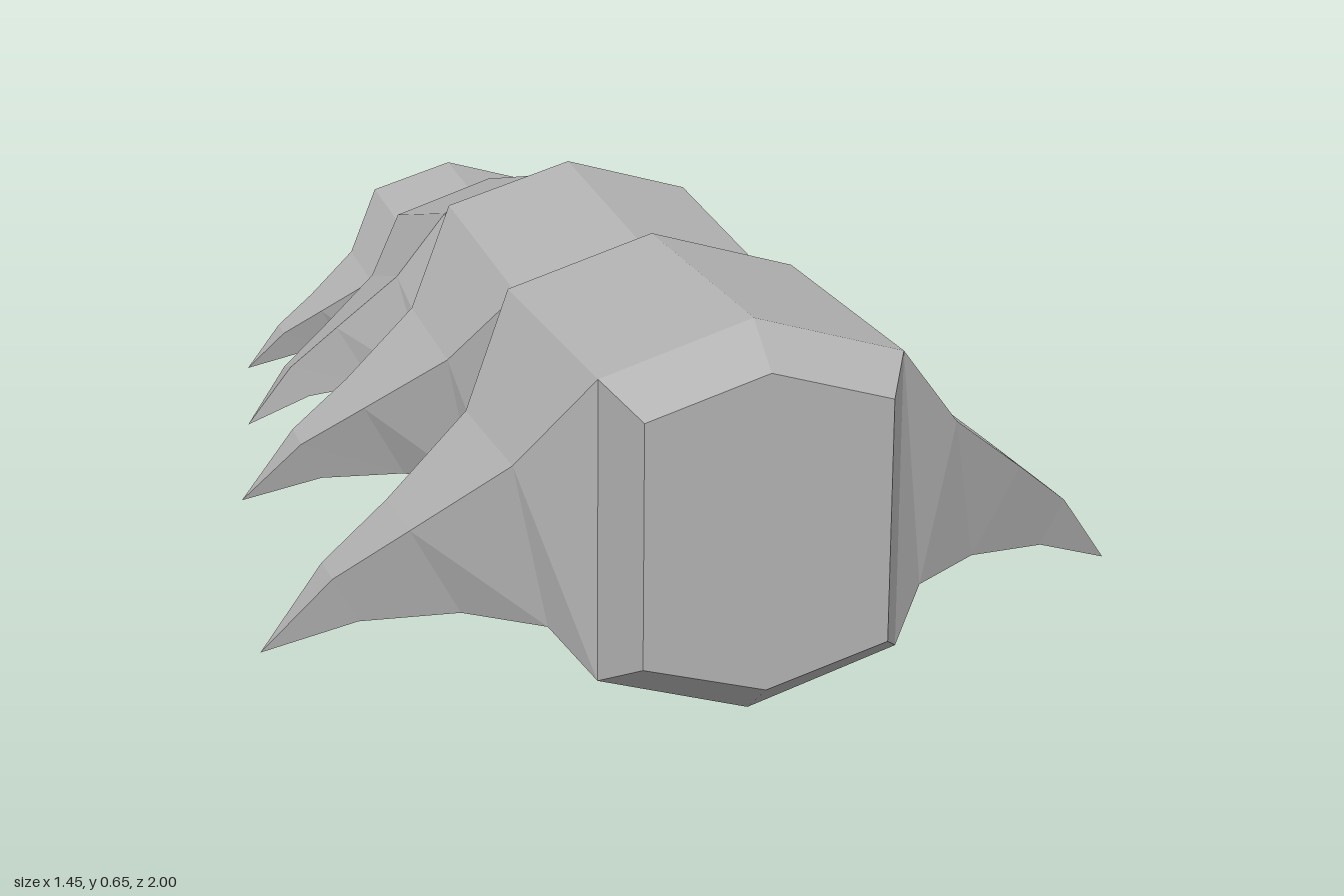
import * as THREE from 'three';

const shell = new THREE.MeshStandardMaterial({ color: 0xb2b2b2, flatShading: true });
shell.name = 'grey shell';

// Joins rings of points into a faceted solid; rings run counter-clockwise seen from the far end.
function loft(rings, capStart, capEnd) {
  const pos = [];
  const tri = (a, b, c) => pos.push(...a, ...b, ...c);
  const n = rings[0].length;
  for (let k = 0; k < rings.length - 1; k++) {
    const a = rings[k], b = rings[k + 1];
    for (let i = 0; i < n; i++) {
      const j = (i + 1) % n;
      tri(a[i], a[j], b[j]);
      tri(a[i], b[j], b[i]);
    }
  }
  const first = rings[0], last = rings[rings.length - 1];
  for (let i = 1; i < n - 1; i++) {
    if (capStart) tri(first[0], first[i + 1], first[i]);
    if (capEnd) tri(last[0], last[i], last[i + 1]);
  }
  const g = new THREE.BufferGeometry();
  g.setAttribute('position', new THREE.Float32BufferAttribute(pos, 3));
  g.computeVertexNormals();
  return g;
}

// Six-sided body section: half width, ridge, shoulder, hip and keel heights
const hex = (z, w, ridge, shoulder, hip, keel) => [
  [0, ridge, z], [-w, shoulder, z], [-w, hip, z], [0, keel, z], [w, hip, z], [w, shoulder, z],
];

function bodyGeometry() {
  const end = (z) => hex(z, 0.2, 0.257, 0.197, -0.2, -0.257);
  const mid = (z) => hex(z, 0.247, 0.32, 0.245, -0.245, -0.32);
  return loft([end(-0.333), mid(-0.25), mid(0.25), end(0.333)], true, true);
}

// Spike sections: top x, top y, bottom x, bottom y, front z, back z
const spikeSections = [
  [0.247, 0.245, 0.247, -0.245, 0.25, -0.25],
  [0.365, 0.1, 0.31, -0.17, 0.193, -0.082],
  [0.51, -0.015, 0.43, -0.16, 0.122, -0.027],
  [0.62, -0.105, 0.58, -0.18, 0.062, -0.014],
  [0.725, -0.24, 0.725, -0.24, 0, 0],
];
const stumpSections = [spikeSections[0], [0.32, 0.1, 0.32, -0.17, 0.193, -0.082]];

function limbGeometry(sections, side) {
  const rings = sections.map(([tx, ty, bx, by, f, b]) => {
    const ring = [[tx, ty, f], [bx, by, f], [bx, by, b], [tx, ty, b]];
    ring.forEach((p) => { p[0] *= side; });
    return side > 0 ? ring : ring.reverse();
  });
  return loft(rings, false, sections === stumpSections);
}

export function createModel() {
  const model = new THREE.Group();
  model.name = 'spikedTail';

  const add = (group, name, geometry) => {
    const mesh = new THREE.Mesh(geometry, shell);
    mesh.name = name;
    group.add(mesh);
  };

  // Four shrinking segments, tilted in turn; the third has a stump on its left
  const segments = [
    { y: 0.325, z: 0.667, scale: 1, tilt: 0 },
    { y: 0.349, z: 0.132, scale: 0.885, tilt: 5 },
    { y: 0.3, z: -0.362, scale: 0.75, tilt: -15, stump: true },
    { y: 0.23, z: -0.776, scale: 0.62, tilt: 5 },
  ];
  segments.forEach(({ y, z, scale, tilt, stump }, i) => {
    const segment = new THREE.Group();
    segment.name = `segment${i + 1}`;
    add(segment, 'body', bodyGeometry());
    add(segment, 'rightSpike', limbGeometry(spikeSections, -1));
    if (stump) add(segment, 'leftStump', limbGeometry(stumpSections, 1));
    else add(segment, 'leftSpike', limbGeometry(spikeSections, 1));
    segment.position.set(0, y, z);
    segment.rotation.x = THREE.MathUtils.degToRad(tilt);
    segment.scale.setScalar(scale);
    model.add(segment);
  });

  return model;
}
